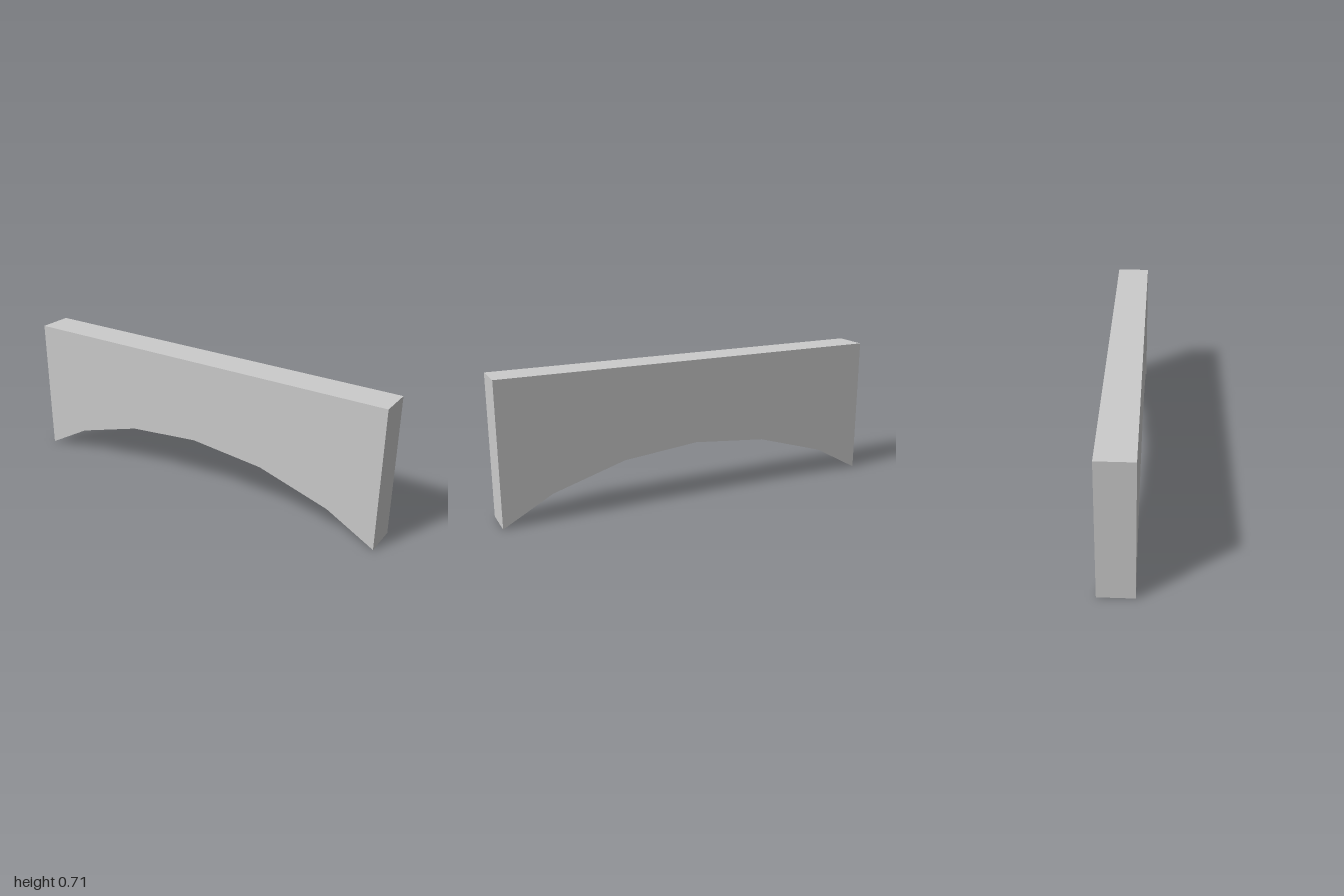
import * as THREE from 'three';

const HEIGHT = 0.711;
const DEPTH = 0.172;

// Right half of the faceted arch underside, from the crown to the foot
const archHalf = [[0, 0.285], [0.388, 0.247], [0.754, 0.136], [1, 0]];

export function createModel() {
  const group = new THREE.Group();
  group.name = 'archedBeam';

  // Mirror the half arch, then close the outline along the flat top
  const left = archHalf.slice(1).reverse().map(([x, y]) => [-x, y]);
  const outline = [...left, ...archHalf, [1, HEIGHT], [-1, HEIGHT]];
  const shape = new THREE.Shape(outline.map(([x, y]) => new THREE.Vector2(x, y)));

  const geometry = new THREE.ExtrudeGeometry(shape, { depth: DEPTH, bevelEnabled: false });
  geometry.translate(0, 0, -DEPTH / 2);

  const material = new THREE.MeshStandardMaterial({ color: 0xcccccc, flatShading: true });
  const beam = new THREE.Mesh(geometry, material);
  beam.name = 'archSpan';
  group.add(beam);
  return group;
}
